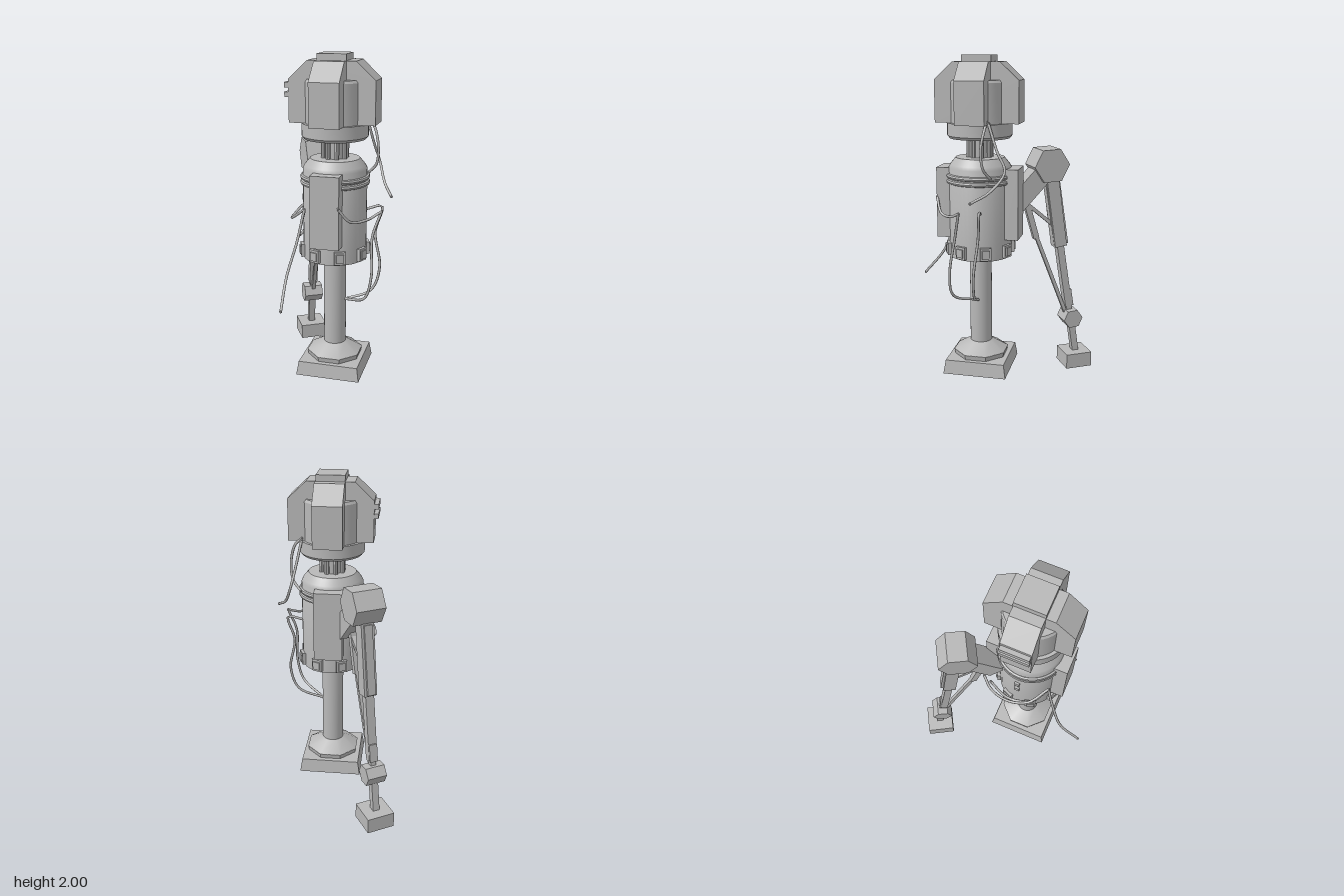
import * as THREE from 'three';
import { toCreasedNormals } from 'three/addons/utils/BufferGeometryUtils.js';

const metal = new THREE.MeshStandardMaterial({ color: 0xb8b8b8 });
metal.name = 'grey metal';

const CX = 0.05, CZ = 0.123; // axis of the main column

function add(parent, name, geometry, x = 0, y = 0, z = 0) {
  const mesh = new THREE.Mesh(toCreasedNormals(geometry, 0.5), metal);
  mesh.name = name;
  mesh.position.set(x, y, z);
  parent.add(mesh);
  return mesh;
}
const box = (w, h, d) => new THREE.BoxGeometry(w, h, d);
const lathe = (pts, n = 40) =>
  new THREE.LatheGeometry(pts.map(([r, y]) => new THREE.Vector2(r, y)), n);

// beam between two [outward, height] points in the leg plane
function beam(parent, name, [z0, y0], [z1, y1], w, t, x = 0) {
  const len = Math.hypot(z1 - z0, y1 - y0);
  const mesh = add(parent, name, box(w, len, t), x, (y0 + y1) / 2, (z0 + z1) / 2);
  mesh.rotation.x = Math.atan2(z0 - z1, y0 - y1);
  return mesh;
}
function hexJoint(parent, name, radius, width, y, z, tilt) {
  const g = new THREE.CylinderGeometry(radius, radius, width, 6).rotateZ(Math.PI / 2).rotateX(tilt);
  return add(parent, name, g, 0, y, z);
}

function buildHead(core) {
  const head = new THREE.Group();
  head.name = 'head';
  core.add(head);
  add(head, 'headDrum', lathe([
    [0, 1.524], [0.18, 1.524], [0.193, 1.54], [0.193, 1.614], [0.174, 1.614],
    [0.174, 1.845], [0.165, 1.86], [0, 1.86]]));
  // two crossing chamfered slabs make the four armour blocks
  const s = new THREE.Shape();
  [[-0.25, 1.614], [0.25, 1.614], [0.25, 1.86], [0.14, 1.963], [-0.14, 1.963], [-0.25, 1.86]]
    .forEach(([x, y], i) => (i ? s.lineTo(x, y) : s.moveTo(x, y)));
  for (const turn of [0, Math.PI / 2]) {
    const g = new THREE.ExtrudeGeometry(s, { depth: 0.172, bevelEnabled: false }).translate(0, 0, -0.086);
    add(head, 'armourBlocks', g.rotateY(turn));
  }
  add(head, 'topCap', box(0.168, 0.05, 0.175), 0, 1.975, 0);
  for (const y of [1.825, 1.771]) add(head, 'sideBar', box(0.04, 0.03, 0.165), -0.255, y, 0);
}

function buildBody(core) {
  const body = new THREE.Group();
  body.name = 'body';
  core.add(body);
  add(body, 'bodyDrum', lathe([
    [0, 0.81], [0.188, 0.81], [0.188, 1.35], [0.178, 1.37], [0.145, 1.41], [0, 1.41]]));
  for (const y of [1.302, 1.27]) {
    add(body, 'bodyRing', new THREE.TorusGeometry(0.19, 0.014, 8, 40).rotateX(Math.PI / 2), 0, y, 0);
  }
  for (const z of [0.205, -0.205]) add(body, 'bodyPlate', box(0.17, 0.424, 0.086), 0, 1.138, z);
  // clamps around the lower rim
  for (let i = 0; i < 8; i++) {
    const a = (i + 0.5) * Math.PI / 4;
    const clamp = new THREE.Group();
    clamp.name = 'rimClamp';
    clamp.rotation.y = a;
    body.add(clamp);
    add(clamp, 'clampBlock', box(0.066, 0.076, 0.03), 0, 0.857, 0.19);
    add(clamp, 'clampFace', box(0.044, 0.05, 0.014), 0, 0.857, 0.206);
  }
  for (const y of [1.16, 1.08]) add(body, 'cableSocket', box(0.02, 0.035, 0.03), -0.19, y, -0.01);
  // neck
  add(body, 'neck', new THREE.CylinderGeometry(0.062, 0.062, 0.16, 24), 0, 1.47, 0);
  for (let i = 0; i < 8; i++) {
    const a = (i + 0.5) * Math.PI / 4;
    add(body, 'neckRod', new THREE.CylinderGeometry(0.014, 0.014, 0.16, 8),
      Math.sin(a) * 0.068, 1.47, Math.cos(a) * 0.068);
  }
}

function buildStand(core) {
  const stand = new THREE.Group();
  stand.name = 'stand';
  core.add(stand);
  add(stand, 'column', new THREE.CylinderGeometry(0.067, 0.067, 0.66, 28), 0, 0.53, 0);
  const oct = Math.PI / 8;
  add(stand, 'collarCone', new THREE.CylinderGeometry(0.072, 0.172, 0.06, 8).rotateY(oct), 0, 0.223, 0);
  add(stand, 'collar', new THREE.CylinderGeometry(0.172, 0.165, 0.035, 8).rotateY(oct), 0, 0.177, 0);
  add(stand, 'basePlate', new THREE.CylinderGeometry(0.182 * Math.SQRT2, 0.195 * Math.SQRT2, 0.085, 4)
    .rotateY(Math.PI / 4), 0, 0.122, 0);
}

// rear support leg, built in a plane where +z points away from the column
function buildLeg(core) {
  const leg = new THREE.Group();
  leg.name = 'supportLeg';
  leg.rotation.y = Math.PI * 7 / 6;
  core.add(leg);
  beam(leg, 'shoulderArm', [0.42, 1.33], [0.21, 1.11], 0.12, 0.12);
  hexJoint(leg, 'shoulderJoint', 0.113, 0.18, 1.345, 0.43, -0.05);
  beam(leg, 'thigh', [0.445, 1.32], [0.517, 0.82], 0.08, 0.078);
  beam(leg, 'thighRidge', [0.458, 1.24], [0.523, 0.83], 0.05, 0.095);
  beam(leg, 'lowerThigh', [0.512, 0.86], [0.583, 0.42], 0.054, 0.045);
  beam(leg, 'kneeSleeve', [0.572, 0.52], [0.59, 0.41], 0.05, 0.055);
  beam(leg, 'kneeRod', [0.585, 0.44], [0.6, 0.33], 0.035, 0.035);
  hexJoint(leg, 'kneeJoint', 0.064, 0.122, 0.33, 0.604, -0.1);
  beam(leg, 'shin', [0.604, 0.33], [0.643, 0.08], 0.042, 0.042);
  add(leg, 'foot', box(0.173, 0.095, 0.173), 0, 0.0475, 0.64);
  // braces
  beam(leg, 'braceSleeve', [0.285, 1.14], [0.36, 0.88], 0.036, 0.036);
  beam(leg, 'braceRod', [0.35, 0.92], [0.575, 0.35], 0.022, 0.022);
  beam(leg, 'braceLink', [0.29, 1.11], [0.48, 0.95], 0.03, 0.022);
}

function buildCables(root) {
  const cables = {
    headCableShort: [[0.22, 1.63, 0.04], [0.26, 1.59, 0.045], [0.29, 1.48, 0.06], [0.28, 1.37, 0.05], [0.23, 1.31, 0.02]],
    headCableLong: [[0.22, 1.62, 0.03], [0.25, 1.47, -0.025], [0.275, 1.36, -0.075], [0.32, 1.25, 0], [0.38, 1.19, 0.1]],
    plateCable: [[0.13, 1.17, 0.37], [0.19, 1.09, 0.33], [0.27, 1.085, 0.25], [0.34, 1.12, 0.18]],
    outerHangingCable: [[0.34, 1.12, 0.18], [0.295, 0.97, 0.215], [0.3, 0.74, 0.25], [0.26, 0.6, 0.24], [0.11, 0.53, 0.125]],
    innerHangingCable: [[0.23, 1.1, 0.08], [0.32, 1.12, 0.065], [0.285, 0.96, 0.08], [0.32, 0.75, 0.1], [0.27, 0.6, 0.11], [0.11, 0.53, 0.125]],
    looseCable: [[-0.09, 1.13, 0.29], [-0.12, 0.95, 0.34], [-0.16, 0.76, 0.42], [-0.155, 0.6, 0.55]],
    legCableUpper: [[-0.09, 1.13, 0.29], [-0.19, 1.05, 0.2], [-0.22, 1.03, 0.08], [-0.2, 1.06, -0.03], [-0.15, 1.1, -0.095]],
    legCableLower: [[-0.09, 1.12, 0.29], [-0.15, 0.95, 0.2], [-0.17, 0.92, 0.06], [-0.14, 1.0, -0.06]],
  };
  for (const [name, pts] of Object.entries(cables)) {
    const curve = new THREE.CatmullRomCurve3(pts.map((p) => new THREE.Vector3(...p)));
    const mesh = new THREE.Mesh(new THREE.TubeGeometry(curve, 32, 0.008, 8), metal);
    mesh.name = name;
    root.add(mesh);
    // rounded ends
    for (const p of [pts[0], pts[pts.length - 1]]) {
      add(root, 'cableEnd', new THREE.SphereGeometry(0.009, 8, 6), ...p);
    }
  }
}

export function createModel() {
  const root = new THREE.Group();
  root.name = 'probeMachine';
  const core = new THREE.Group();
  core.name = 'core';
  core.position.set(CX, 0, CZ);
  root.add(core);
  buildHead(core);
  buildBody(core);
  buildStand(core);
  buildLeg(core);
  buildCables(root);
  // centre on x and z
  root.updateMatrixWorld(true);
  const c = new THREE.Box3().setFromObject(root, true).getCenter(new THREE.Vector3());
  for (const child of root.children) {
    child.position.x -= c.x;
    child.position.z -= c.z;
  }
  return root;
}
